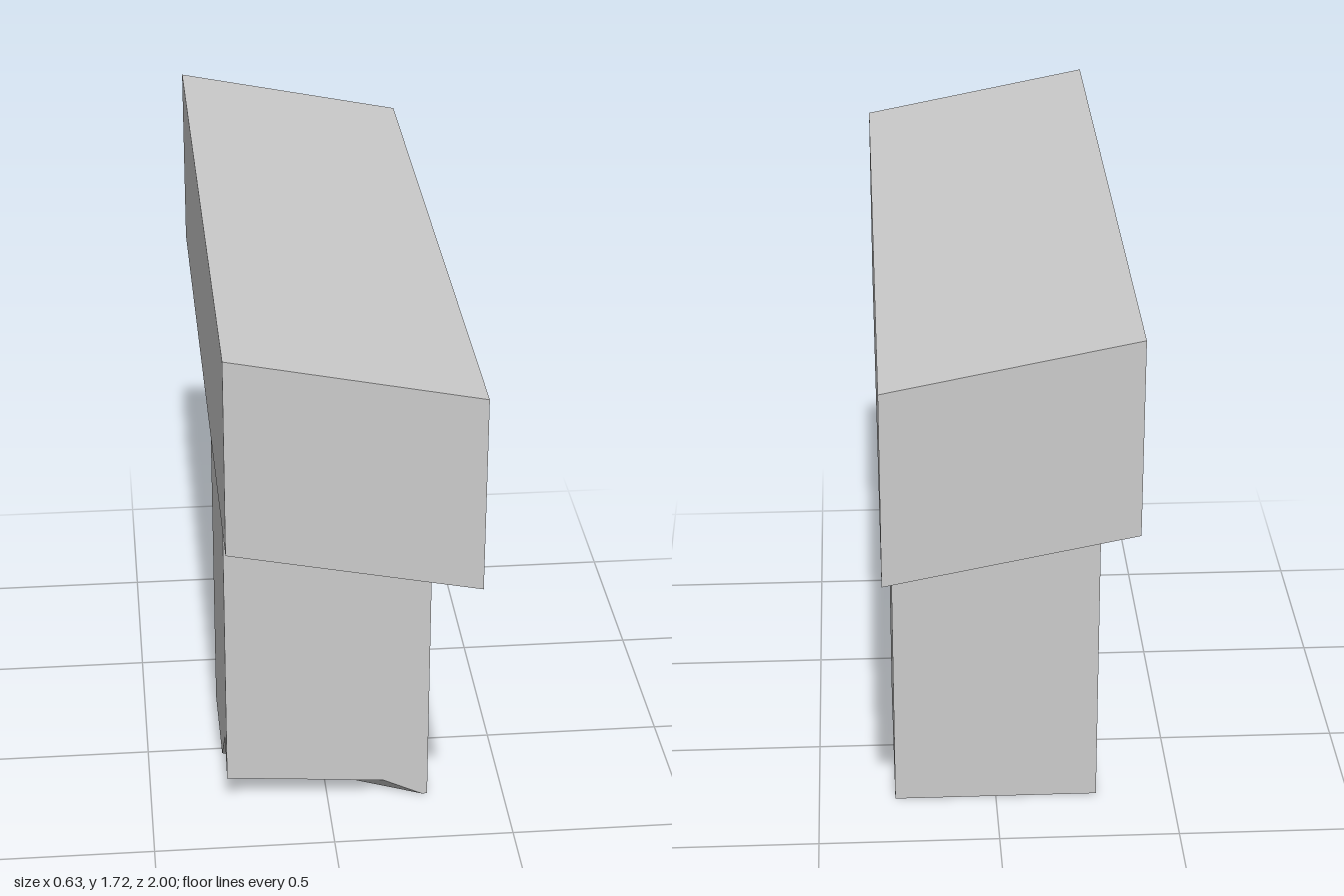
import * as THREE from 'three';

const material = new THREE.MeshStandardMaterial({ color: 0xcccccc, flatShading: true });

// Builds a flat-faced solid; each face is a fan around its first corner.
function solidFromFaces(corners, faces) {
  const positions = [];
  for (const face of faces) {
    const names = face.split(' ');
    for (let i = 1; i < names.length - 1; i++) {
      positions.push(...corners[names[0]], ...corners[names[i]], ...corners[names[i + 1]]);
    }
  }
  const geometry = new THREE.BufferGeometry();
  geometry.setAttribute('position', new THREE.Float32BufferAttribute(positions, 3));
  geometry.computeVertexNormals();
  return geometry;
}

// Long beam with a slanted cross-section, running front to back
function createBeam() {
  const section = new THREE.Shape([
    new THREE.Vector2(-0.315, 1.205),
    new THREE.Vector2(0.315, 1.08),
    new THREE.Vector2(0.315, 1.595),
    new THREE.Vector2(-0.315, 1.72),
  ]);
  const geometry = new THREE.ExtrudeGeometry(section, { depth: 2, bevelEnabled: false });
  geometry.translate(0, 0, -1);
  const beam = new THREE.Mesh(geometry, material);
  beam.name = 'beam';
  return beam;
}

// Square post with a slanted top and a chipped front corner at the foot
function createPost() {
  const w = 0.285;
  const high = 1.199, low = 1.086;
  const corners = {
    rightFront: [w, 0, w],
    rightBack: [w, 0, -w],
    leftBack: [-w, 0, -w],
    topRightFront: [w, low, w],
    topRightBack: [w, low, -w],
    topLeftFront: [-w, high, w],
    topLeftBack: [-w, high, -w],
    // chip outline
    chipRight: [0.27, 0, w],
    chipFront: [0.16, 0.052, w],
    chipCorner: [-w, 0.085, w],
    chipPeak: [-w, 0.175, 0.204],
    chipLeft: [-w, 0, 0.026],
  };
  const geometry = solidFromFaces(corners, [
    'chipFront chipRight rightFront topRightFront topLeftFront chipCorner', // front
    'chipPeak chipCorner topLeftFront topLeftBack leftBack chipLeft', // -x side
    'rightFront rightBack topRightBack topRightFront', // +x side
    'rightBack leftBack topLeftBack topRightBack', // back
    'topLeftFront topRightFront topRightBack topLeftBack', // top
    'leftBack rightBack rightFront chipRight chipLeft', // bottom
    'chipLeft chipRight chipFront chipPeak', // chip, large facet
    'chipFront chipCorner chipPeak', // chip, small facet
  ]);
  const post = new THREE.Mesh(geometry, material);
  post.name = 'post';
  return post;
}

export function createModel() {
  const model = new THREE.Group();
  model.name = 'postAndBeam';
  model.add(createBeam(), createPost());
  return model;
}
